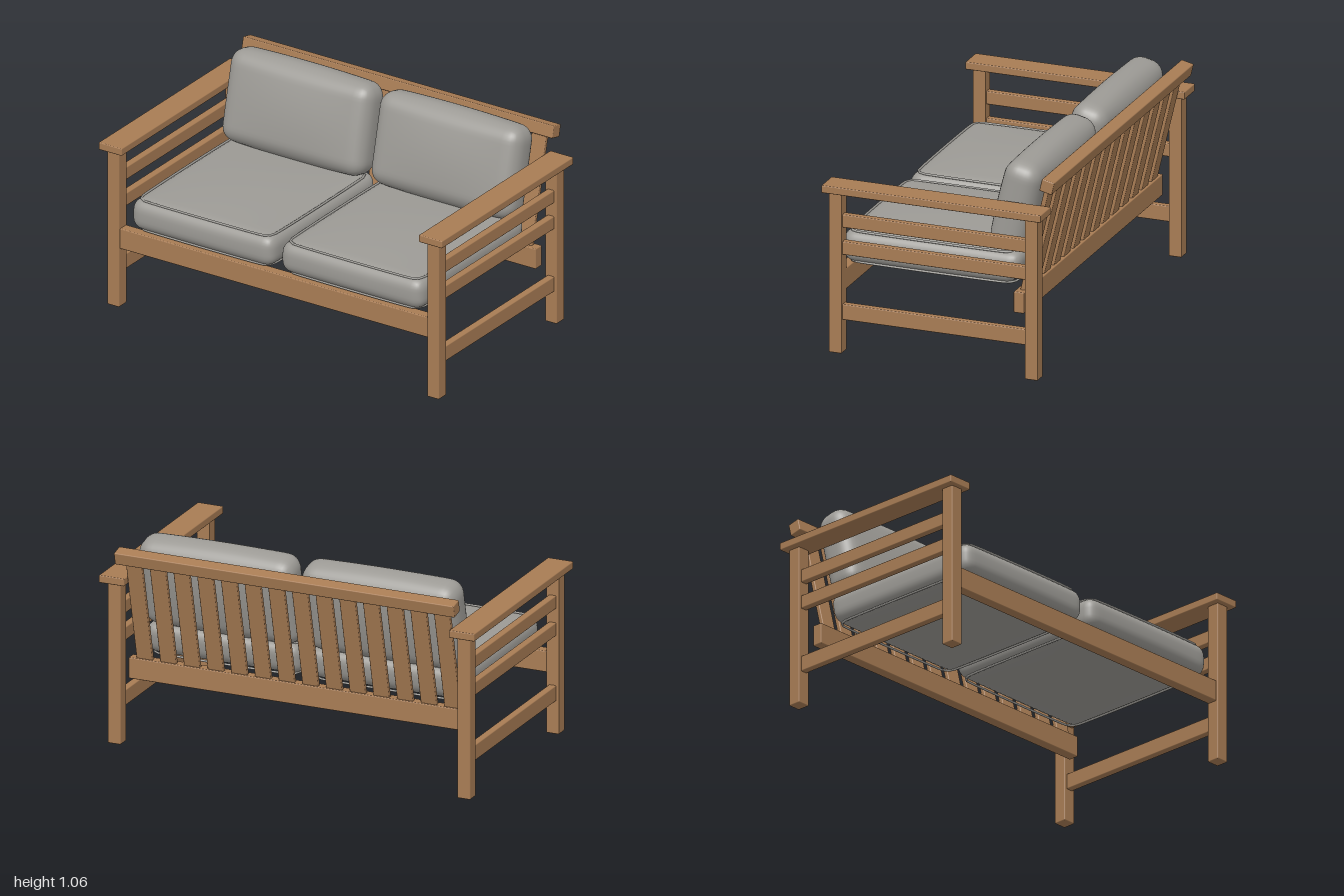
import * as THREE from 'three';
import { mergeVertices } from 'three/addons/utils/BufferGeometryUtils.js';
import { RoundedBoxGeometry } from 'three/addons/geometries/RoundedBoxGeometry.js';

const wood = new THREE.MeshStandardMaterial({ color: 0xa87c54 });
wood.name = 'wood';
const fabric = new THREE.MeshStandardMaterial({ color: 0x9c9a95 });
fabric.name = 'grey fabric';

const TILT = 0.232; // backrest lean

// Softly eased timber given by its extents on each axis
function timber(name, [x0, x1], [y0, y1], [z0, z1]) {
  const geo = new RoundedBoxGeometry(x1 - x0, y1 - y0, z1 - z0, 2, 0.005);
  const mesh = new THREE.Mesh(geo, wood);
  mesh.name = name;
  mesh.position.set((x0 + x1) / 2, (y0 + y1) / 2, (z0 + z1) / 2);
  return mesh;
}

// Rounded box whose large faces swell in the middle; lean slants the back end
function cushionGeometry(w, h, d, r, bulge, sideBulge, lean) {
  let geo = new THREE.BoxGeometry(2, 2, 2, 28, 14, 28);
  geo.deleteAttribute('normal');
  geo.deleteAttribute('uv');
  geo = mergeVertices(geo);
  const pos = geo.attributes.position;
  const half = new THREE.Vector3(w / 2, h / 2, d / 2);
  const inner = half.clone().subScalar(r);
  const p = new THREE.Vector3();
  const core = new THREE.Vector3();
  const ease = (t) => Math.sin((t * Math.PI) / 2); // gathers vertices near the edges
  for (let i = 0; i < pos.count; i++) {
    p.fromBufferAttribute(pos, i);
    p.set(ease(p.x), ease(p.y), ease(p.z)).multiply(half);
    core.copy(p).clamp(inner.clone().negate(), inner);
    p.sub(core).setLength(r).add(core);
    const u = p.x / half.x, v = p.y / half.y, s = p.z / half.z;
    p.y += v * bulge * (1 - u * u) * (1 - s * s);
    p.z += s * sideBulge * (1 - u * u) * (1 - v * v);
    p.z -= lean * p.y * (1 - s) / 2;
    pos.setXYZ(i, p.x, p.y, p.z);
  }
  geo.computeVertexNormals();
  return geo;
}

// Closed cord running around a cushion face
function pipingGeometry(w, d, corner, radius) {
  const points = [];
  for (let k = 0; k < 4; k++) {
    const sx = k === 0 || k === 3 ? 1 : -1;
    const sz = k < 2 ? 1 : -1;
    for (let j = 0; j <= 4; j++) {
      const a = ((k + j / 4) * Math.PI) / 2;
      points.push(new THREE.Vector3(
        sx * (w / 2 - corner) + corner * Math.cos(a), 0,
        sz * (d / 2 - corner) + corner * Math.sin(a)));
    }
  }
  const path = new THREE.CatmullRomCurve3(points, true, 'centripetal');
  return new THREE.TubeGeometry(path, 96, radius, 6, true);
}

export function createModel() {
  const model = new THREE.Group();
  model.name = 'twoSeatSofa';

  // End frames: legs, armrest and side rails
  for (const side of [1, -1]) {
    const span = (a, b) => (side > 0 ? [a, b] : [-b, -a]);
    const end = new THREE.Group();
    end.name = side > 0 ? 'leftEndFrame' : 'rightEndFrame';
    end.add(
      timber('frontLeg', span(0.897, 0.965), [0, 0.83], [0.495, 0.562]),
      timber('backLeg', span(0.897, 0.965), [0, 0.83], [-0.527, -0.46]),
      timber('armrest', span(0.865, 1), [0.828, 0.867], [-0.556, 0.587]));
    for (const [y0, y1] of [[0.645, 0.712], [0.505, 0.573], [0.17, 0.25]]) {
      end.add(timber('sideRail', span(0.912, 0.95), [y0, y1], [-0.465, 0.5]));
    }
    model.add(end);
  }

  // Long seat rails
  model.add(
    timber('frontRail', [-0.9, 0.9], [0.31, 0.418], [0.497, 0.552]),
    timber('backRail', [-0.9, 0.9], [0.31, 0.418], [-0.43, -0.375]));

  // Leaning backrest
  const topRail = timber('topRail', [-0.905, 0.905], [0.949, 1.013], [-0.583, -0.517]);
  topRail.rotation.x = -TILT;
  model.add(topRail);
  const slats = 14;
  for (let i = 0; i < slats; i++) {
    const x = -0.82 + (1.64 * i) / (slats - 1);
    const slat = timber('backSlat', [x - 0.042, x + 0.042], [0.395, 0.975], [-0.482, -0.458]);
    slat.rotation.x = -TILT;
    model.add(slat);
  }

  // Seat and back cushions
  const seatGeo = cushionGeometry(0.83, 0.162, 0.92, 0.06, 0.022, 0.005, 0.2);
  const backGeo = cushionGeometry(0.83, 0.185, 0.465, 0.075, 0.026, 0.012, 0);
  const cordGeo = pipingGeometry(0.77, 0.86, 0.05, 0.006);
  for (const x of [-0.434, 0.434]) {
    const seat = new THREE.Group();
    seat.name = 'seatCushion';
    seat.position.set(x, 0.506, 0.088);
    const pad = new THREE.Mesh(seatGeo, fabric);
    pad.name = 'seatPad';
    seat.add(pad);
    for (const y of [-0.078, 0.078]) {
      const cord = new THREE.Mesh(cordGeo, fabric);
      cord.name = 'seatPiping';
      cord.position.y = y;
      seat.add(cord);
    }
    const back = new THREE.Mesh(backGeo, fabric);
    back.name = 'backCushion';
    back.position.set(x, 0.817, -0.343);
    back.rotation.x = Math.PI / 2 - TILT;
    model.add(seat, back);
  }
  return model;
}
